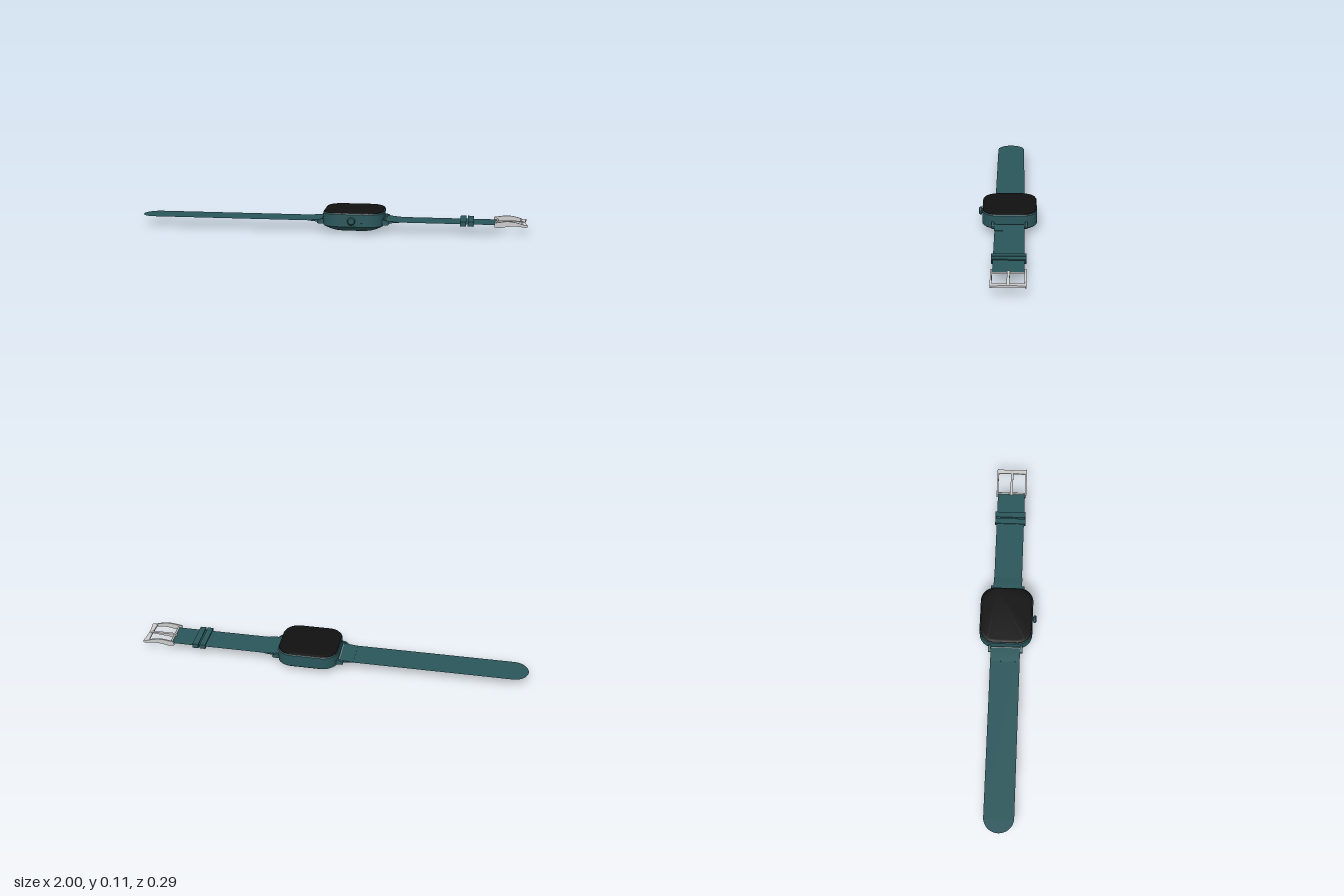
import * as THREE from 'three';
import { toCreasedNormals } from 'three/addons/utils/BufferGeometryUtils.js';

const CX = 0.12, CZ = -0.009, STRAP_Y = 0.053, HALF_W = 0.076;
const mat = (color, extra = {}) => new THREE.MeshStandardMaterial({ color, ...extra });

// Closed loft through rounded rectangles; each section is [y, inset]
function roundedLoft(halfX, halfZ, radius, sections, n = 12) {
  const pos = [], idx = [], count = 4 * (n + 1);
  for (const [y, inset] of sections) {
    const r = radius - inset * 0.4, a = halfX - inset - r, b = halfZ - inset - r;
    for (let q = 0; q < 4; q++) {
      const sx = q === 0 || q === 3 ? 1 : -1, sz = q < 2 ? -1 : 1;
      for (let i = 0; i <= n; i++) {
        const t = (q + i / n) * Math.PI / 2;
        pos.push(sx * a + r * Math.cos(t), y, sz * b - r * Math.sin(t));
      }
    }
  }
  const last = (sections.length - 1) * count;
  for (let k = 0; k < last; k += count) {
    for (let j = 0; j < count; j++) {
      const m = (j + 1) % count;
      idx.push(k + j, k + m, k + count + m, k + j, k + count + m, k + count + j);
    }
  }
  for (let j = 1; j < count - 1; j++) {
    idx.push(0, j + 1, j, last, last + j, last + j + 1);
  }
  const g = new THREE.BufferGeometry();
  g.setAttribute('position', new THREE.Float32BufferAttribute(pos, 3));
  g.setIndex(idx);
  return toCreasedNormals(g, 0.5);
}

// Side profile in x/y, extruded evenly about z = 0
function sideExtrude(shape, width) {
  const g = new THREE.ExtrudeGeometry(shape, { depth: width, bevelEnabled: false, curveSegments: 12 });
  return toCreasedNormals(g.translate(0, 0, -width / 2), 0.5);
}
const polygon = (pts) => new THREE.Shape(pts.map(([x, y]) => new THREE.Vector2(x, y)));

export function createModel() {
  const model = new THREE.Group();
  model.name = 'wristwatch';
  const teal = mat(0x2a565b), sheet = mat(0x2a565b, { side: THREE.DoubleSide });
  const black = mat(0x111111), dark = mat(0x0c1d20), metal = mat(0xcccccc);
  const add = (name, geo, material, x = 0, y = 0, z = CZ, parent = model) => {
    const m = new THREE.Mesh(geo, material);
    m.name = name;
    m.position.set(x, y, z);
    parent.add(m);
    return m;
  };

  // Case, glass and rear sensor
  add('case', roundedLoft(0.155, 0.1365, 0.075, [
    [0.005, 0.06], [0.008, 0.048], [0.014, 0.034], [0.022, 0.019],
    [0.03, 0.006], [0.036, 0], [0.099, 0], [0.103, 0.003]]), teal, CX);
  add('glass', roundedLoft(0.153, 0.1345, 0.073, [
    [0.102, 0.001], [0.106, 0.003], [0.109, 0.009], [0.11, 0.017]]), black, CX);
  add('sensor', new THREE.CylinderGeometry(0.047, 0.042, 0.006, 40), black, CX, 0.003);

  // Crown on the front side, turned about z
  const crownProfile = [[0, 0], [0.012, 0], [0.012, 0.004], [0.02, 0.006],
    [0.02, 0.014], [0.015, 0.019], [0, 0.02]].map(([r, h]) => new THREE.Vector2(r, h));
  const crown = add('crown', toCreasedNormals(new THREE.LatheGeometry(crownProfile, 32), 0.5),
    teal, CX - 0.002, 0.067, 0.127);
  crown.rotation.x = Math.PI / 2;
  const mic = add('microphone', new THREE.CylinderGeometry(0.003, 0.003, 0.002, 12), dark, 0.168, 0.056, 0.1275);
  mic.rotation.x = Math.PI / 2;

  // Lugs, spring bars and tapered strap roots on both sides
  for (const s of [1, -1]) {
    const side = new THREE.Group();
    side.name = s > 0 ? 'leftLugs' : 'rightLugs';
    side.position.set(CX + s * 0.15, 0, CZ);
    if (s < 0) side.rotation.y = Math.PI;
    model.add(side);
    const lug = polygon([[0, 0.04], [0.028, 0.04], [0.035, 0.045], [0.034, 0.054], [0.02, 0.064], [0, 0.068]]);
    for (const e of [1, -1]) add('lug', sideExtrude(lug, 0.013), teal, 0, 0, e * 0.082, side);
    const bar = add('springBar', new THREE.CylinderGeometry(0.004, 0.004, 0.156, 16), metal, 0.012, STRAP_Y, 0, side);
    bar.rotation.x = Math.PI / 2;
    const root = polygon([[0.014, 0.047], [0.04, 0.048], [0.085, 0.0525], [0.085, 0.0535], [0.04, 0.058], [0.014, 0.059]]);
    add('strapRoot', sideExtrude(root, HALF_W * 2 - 0.002), teal, 0, 0, 0, side);
  }

  // Long strap with a rounded tip, and the short buckle strap
  const longStrap = new THREE.Shape();
  longStrap.moveTo(-0.02, -HALF_W);
  longStrap.lineTo(-0.02, HALF_W);
  longStrap.lineTo(-1 + HALF_W, HALF_W);
  longStrap.absarc(-1 + HALF_W, 0, HALF_W, Math.PI / 2, Math.PI * 1.5, false);
  const flat = (shape) => new THREE.ShapeGeometry(shape, 32).rotateX(-Math.PI / 2);
  add('longStrap', flat(longStrap), sheet, 0, STRAP_Y);
  const w = HALF_W - 0.003;
  add('shortStrap', flat(polygon([[0.285, -w], [0.85, -w], [0.85, w], [0.285, w]])), sheet, 0, STRAP_Y);

  // Two keeper loops, hollow around the strap
  const rect = (a, b) => [[-a, -b], [a, -b], [a, b], [-a, b]];
  const loop = polygon(rect(0.081, 0.012));
  loop.holes.push(new THREE.Path(rect(0.0765, 0.007).map(([x, y]) => new THREE.Vector2(x, y))));
  for (const x of [0.663, 0.701]) {
    const g = new THREE.ExtrudeGeometry(loop, { depth: 0.03, bevelEnabled: false });
    add('keeperLoop', g.rotateY(Math.PI / 2), teal, x, 0.055);
  }

  // Buckle: two arched rails, an end bar, a pin and a prong
  const buckle = new THREE.Group();
  buckle.name = 'buckle';
  buckle.position.z = CZ;
  model.add(buckle);
  const rail = new THREE.Shape();
  rail.moveTo(0.832, 0.044);
  rail.quadraticCurveTo(0.85, 0.036, 0.875, 0.042);
  rail.quadraticCurveTo(0.93, 0.056, 0.99, 0.043);
  rail.lineTo(1, 0.049);
  rail.quadraticCurveTo(0.93, 0.08, 0.88, 0.072);
  rail.lineTo(0.834, 0.065);
  rail.closePath();
  for (const e of [1, -1]) add('buckleRail', sideExtrude(rail, 0.008), metal, 0, 0, e * 0.0765, buckle);
  const endBar = new THREE.Shape();
  endBar.moveTo(0.968, -0.08);
  endBar.lineTo(0.998, -0.08);
  endBar.quadraticCurveTo(0.984, 0, 0.998, 0.08);
  endBar.lineTo(0.968, 0.08);
  endBar.quadraticCurveTo(0.976, 0, 0.968, -0.08);
  const endGeo = new THREE.ExtrudeGeometry(endBar, { depth: 0.009, bevelEnabled: false, curveSegments: 12 });
  add('buckleEndBar', toCreasedNormals(endGeo.rotateX(-Math.PI / 2), 0.5), metal, 0, 0.0475, 0, buckle);
  const pin = add('bucklePin', new THREE.CylinderGeometry(0.005, 0.005, 0.152, 16), metal, 0.851, STRAP_Y, 0, buckle);
  pin.rotation.x = Math.PI / 2;
  const prong = polygon([[0.838, 0.044], [0.86, 0.044], [0.975, 0.056], [0.985, 0.058],
    [0.975, 0.062], [0.86, 0.062], [0.838, 0.06]]);
  add('prong', sideExtrude(prong, 0.013), metal, 0, 0, 0, buckle);

  return model;
}
